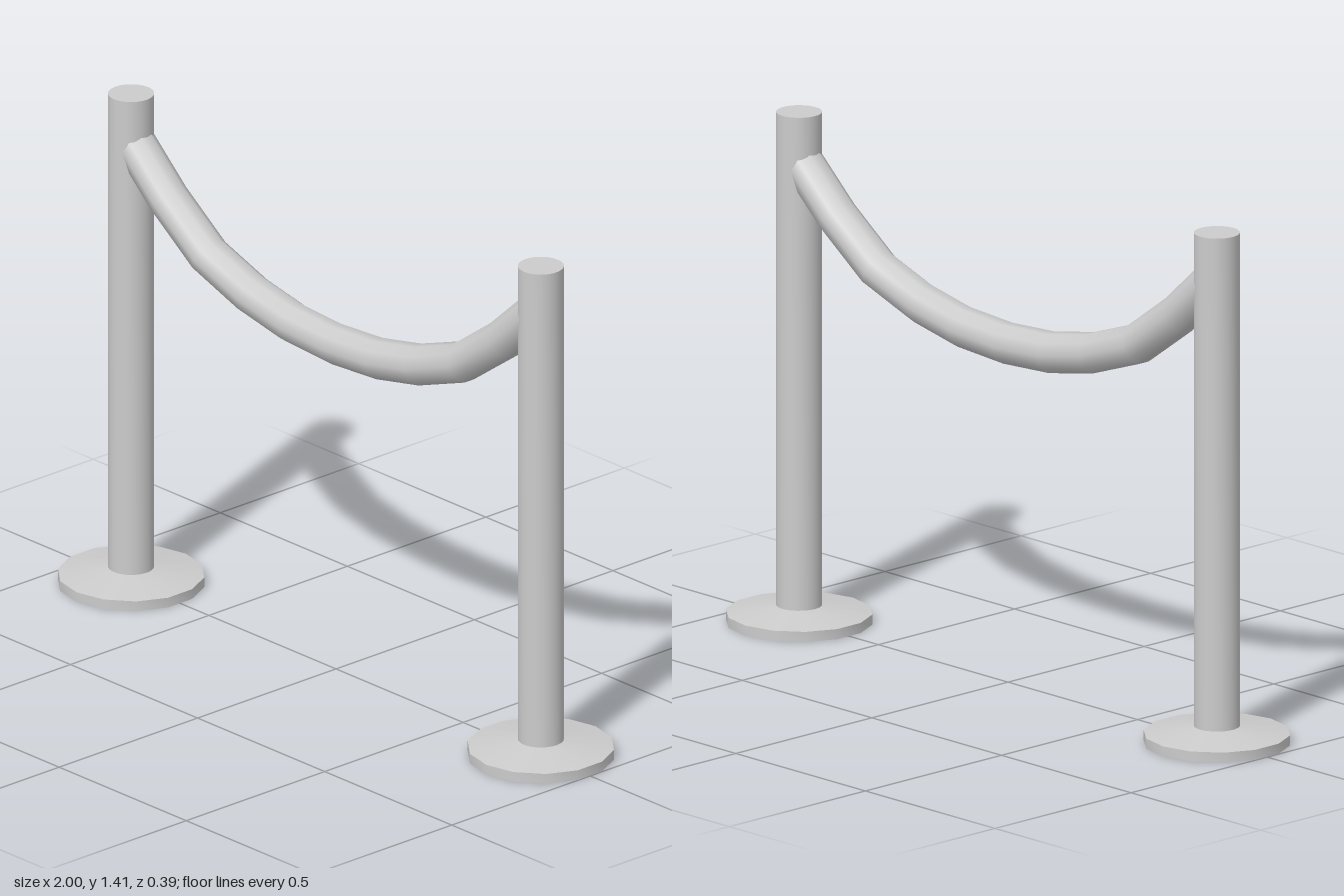
import * as THREE from 'three';
import { toCreasedNormals } from 'three/addons/utils/BufferGeometryUtils.js';

const POST_X = 0.806, POST_R = 0.0615, POST_TOP = 1.412;

export function createModel() {
  const group = new THREE.Group();
  const material = new THREE.MeshStandardMaterial({ color: 0xcccccc, side: THREE.DoubleSide });

  const add = (name, geometry, x = 0) => {
    const mesh = new THREE.Mesh(geometry, material);
    mesh.name = name;
    mesh.position.x = x;
    group.add(mesh);
  };

  // Turned part with sharp profile corners and smooth sides
  const turned = (profile, sides) => toCreasedNormals(
    new THREE.LatheGeometry(profile.map(([r, y]) => new THREE.Vector2(r, y)), sides), 0.5);

  // Post: capped on top, open underneath
  const post = turned([[POST_R, 0], [POST_R, POST_TOP], [0, POST_TOP]], 32);
  // Foot: fourteen-sided ring with a gently sloping top
  const foot = turned([[0.061, 0], [0.197, 0], [0.197, 0.028], [0.061, 0.048]], 14);

  for (const [side, sign] of [['left', 1], ['right', -1]]) {
    add(`${side}Post`, post, sign * POST_X);
    add(`${side}Foot`, foot, sign * POST_X);
  }

  // Sagging rope, mirrored about the middle; its ends sit inside the posts
  const half = [[0.17, 0.948], [0.33, 0.98], [0.5, 1.04], [0.66, 1.155], [0.8, 1.282]];
  const points = [
    ...half.map(([x, y]) => [-x, y]).reverse(), [0, 0.938], ...half,
  ].map(([x, y]) => new THREE.Vector3(x, y, 0));
  const curve = new THREE.CatmullRomCurve3(points);
  // Place one ring of the tube exactly on each control point
  curve.getPointAt = curve.getPoint;
  curve.getTangentAt = curve.getTangent;
  add('rope', new THREE.TubeGeometry(curve, points.length - 1, 0.056, 10));

  return group;
}
